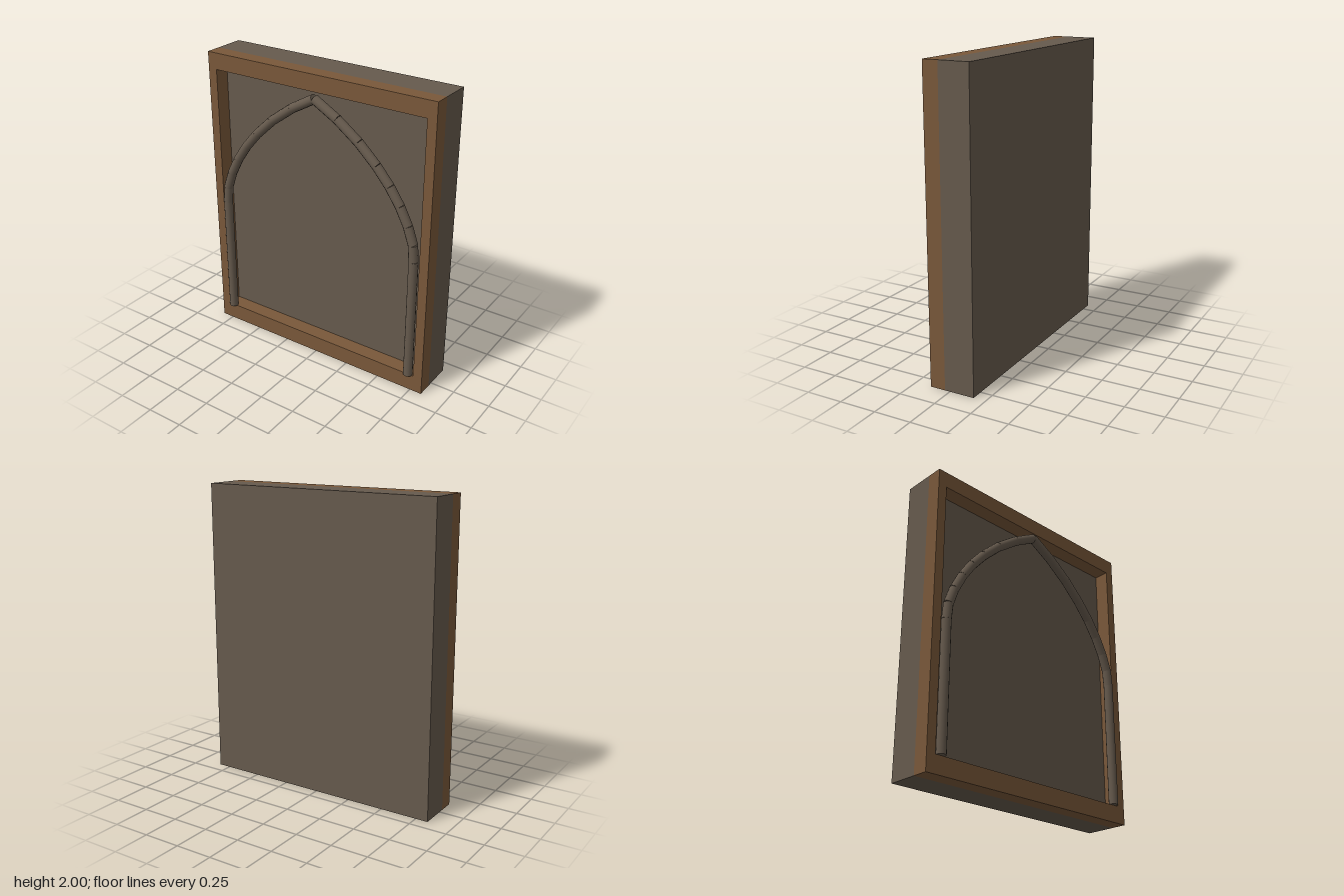
import * as THREE from 'three';

export function createModel() {
  const model = new THREE.Group();
  model.name = 'archedWallPanel';

  const stone = new THREE.MeshStandardMaterial({ color: 0x665a4d });
  stone.name = 'stone';
  const wood = new THREE.MeshStandardMaterial({ color: 0x79583a });
  wood.name = 'wood';

  const add = (name, geometry, material) => {
    const mesh = new THREE.Mesh(geometry, material);
    mesh.name = name;
    model.add(mesh);
    return mesh;
  };

  const rect = (shape, x0, y0, x1, y1) =>
    shape.moveTo(x0, y0).lineTo(x1, y0).lineTo(x1, y1).lineTo(x0, y1).closePath();

  // Solid slab behind everything
  const back = -0.168, recess = 0.035, front = 0.138;
  add('backPanel', new THREE.BoxGeometry(1.666, 2, recess - back), stone)
    .position.set(0, 1, (back + recess) / 2);

  // Raised rectangular frame with an open middle
  const outline = new THREE.Shape();
  rect(outline, -0.833, 0, 0.833, 2);
  const opening = new THREE.Path();
  rect(opening, -0.77, 0.115, 0.77, 1.89);
  outline.holes.push(opening);
  add('frame', new THREE.ExtrudeGeometry(outline, { depth: front - recess, bevelEnabled: false }), wood)
    .position.z = recess;

  // Round moulding: a column on each side, then straight pieces up to the point
  const joints = [
    [0.73, 0.117], [0.73, 0.96], [0.72, 1.07], [0.68, 1.185], [0.62, 1.3],
    [0.545, 1.41], [0.45, 1.52], [0.322, 1.64], [0.167, 1.753], [0, 1.847],
  ];
  const up = new THREE.Vector3(0, 1, 0);
  for (const side of [1, -1]) {
    for (let i = 0; i < joints.length - 1; i++) {
      const a = new THREE.Vector3(side * joints[i][0], joints[i][1], front);
      const b = new THREE.Vector3(side * joints[i + 1][0], joints[i + 1][1], front);
      const label = (side > 0 ? 'left' : 'right') + (i === 0 ? 'Column' : 'ArchPiece' + i);
      const piece = add(label, new THREE.CylinderGeometry(0.031, 0.031, a.distanceTo(b), 12), stone);
      piece.position.lerpVectors(a, b, 0.5);
      piece.quaternion.setFromUnitVectors(up, b.sub(a).normalize());
    }
  }

  return model;
}
